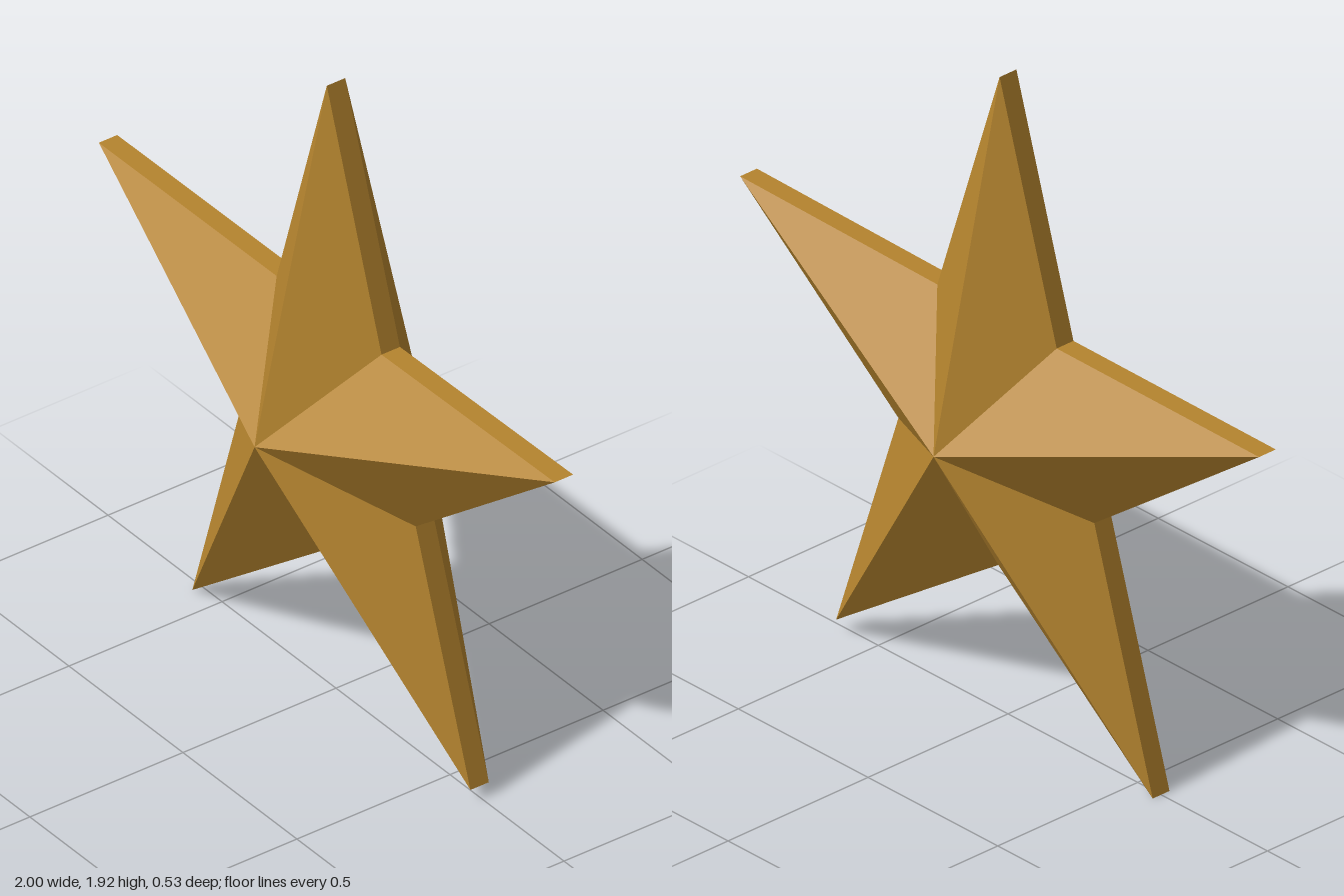
import * as THREE from 'three';

// Star outline, counter-clockwise from the top tip (tips and notches alternate)
const OUTLINE = [
  [0, 1.925], [-0.22, 1.2], [-1, 1.195], [-0.365, 0.735], [-0.59, 0],
  [0.005, 0.457], [0.63, 0.035], [0.39, 0.74], [1, 1.215], [0.24, 1.203],
];
const CENTER_Y = 0.874;
const APEX_Z = 0.266;
const RIM_Z = 0.03;

function facetedMesh(name, positions, material) {
  const geometry = new THREE.BufferGeometry();
  geometry.setAttribute('position', new THREE.Float32BufferAttribute(positions, 3));
  geometry.computeVertexNormals();
  const mesh = new THREE.Mesh(geometry, material);
  mesh.name = name;
  return mesh;
}

export function createModel() {
  const group = new THREE.Group();
  group.name = 'star';
  const material = new THREE.MeshStandardMaterial({ color: 0xb5842e, flatShading: true });

  const front = [], back = [], rim = [];
  OUTLINE.forEach(([ax, ay], i) => {
    const [bx, by] = OUTLINE[(i + 1) % OUTLINE.length];
    // Facets rising to the raised centre on both sides
    front.push(0, CENTER_Y, APEX_Z, ax, ay, RIM_Z, bx, by, RIM_Z);
    back.push(0, CENTER_Y, -APEX_Z, bx, by, -RIM_Z, ax, ay, -RIM_Z);
    // Narrow edge band joining the two sides
    rim.push(ax, ay, RIM_Z, ax, ay, -RIM_Z, bx, by, -RIM_Z);
    rim.push(ax, ay, RIM_Z, bx, by, -RIM_Z, bx, by, RIM_Z);
  });

  group.add(
    facetedMesh('frontFacets', front, material),
    facetedMesh('backFacets', back, material),
    facetedMesh('edgeBand', rim, material),
  );
  return group;
}
